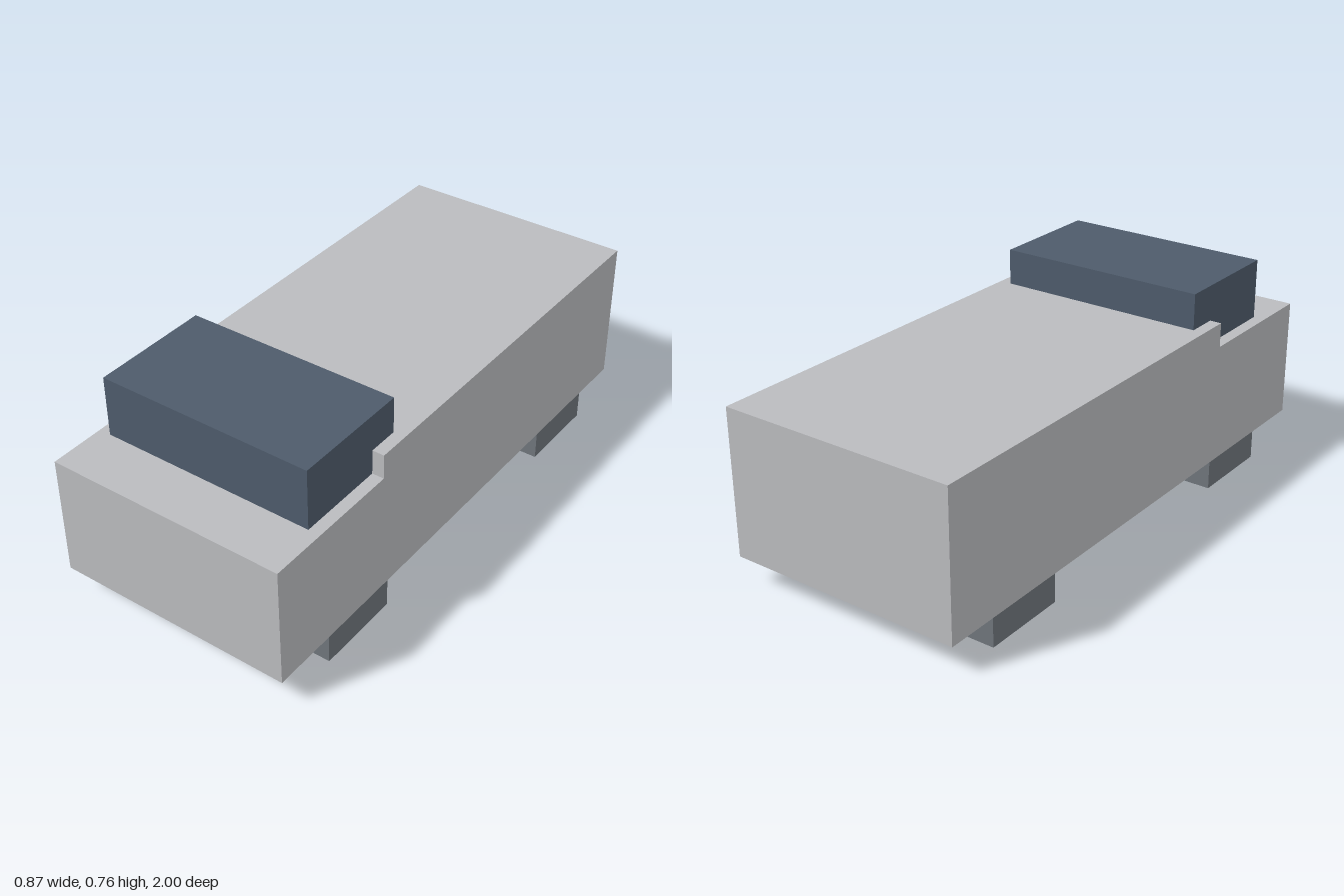
import * as THREE from 'three';

export function createModel() {
  const model = new THREE.Group();
  model.name = 'truck';

  const material = (name, color) => {
    const m = new THREE.MeshStandardMaterial({ color });
    m.name = name;
    return m;
  };
  const bodyGrey = material('bodyGrey', 0xbabbbe);
  const cabBlue = material('cabBlue', 0x4e5b6b);
  const wheelGrey = material('wheelGrey', 0x6f757b);

  const add = (name, geometry, mat) => {
    const mesh = new THREE.Mesh(geometry, mat);
    mesh.name = name;
    model.add(mesh);
    return mesh;
  };

  // Box given by its lower and upper corners
  const box = (name, mat, [x0, y0, z0], [x1, y1, z1]) => {
    const mesh = add(name, new THREE.BoxGeometry(x1 - x0, y1 - y0, z1 - z0), mat);
    mesh.position.set((x0 + x1) / 2, (y0 + y1) / 2, (z0 + z1) / 2);
  };

  // Body: stepped side profile (z, y), extruded across the width
  const halfWidth = 0.433;
  const profile = new THREE.Shape([
    [-1, 0.105], [1, 0.105], [1, 0.54], [0.48, 0.54], [0.48, 0.628], [-1, 0.628],
  ].map(([z, y]) => new THREE.Vector2(-z, y)));
  const bodyGeometry = new THREE.ExtrudeGeometry(profile, { depth: halfWidth * 2, bevelEnabled: false });
  bodyGeometry.translate(0, 0, -halfWidth);
  bodyGeometry.rotateY(Math.PI / 2);
  add('body', bodyGeometry, bodyGrey);

  // Cab, overlapping the step in the body
  box('cab', cabBlue, [-0.39, 0.54, 0.368], [0.39, 0.758, 0.8]);

  // Block wheels, set into the body a hair inside its sides
  const inner = 0.331, outer = halfWidth - 0.001;
  for (const [end, z0, z1] of [['front', 0.452, 0.766], ['rear', -0.808, -0.494]]) {
    box(end + 'LeftWheel', wheelGrey, [inner, 0, z0], [outer, 0.314, z1]);
    box(end + 'RightWheel', wheelGrey, [-outer, 0, z0], [-inner, 0.314, z1]);
  }

  return model;
}
